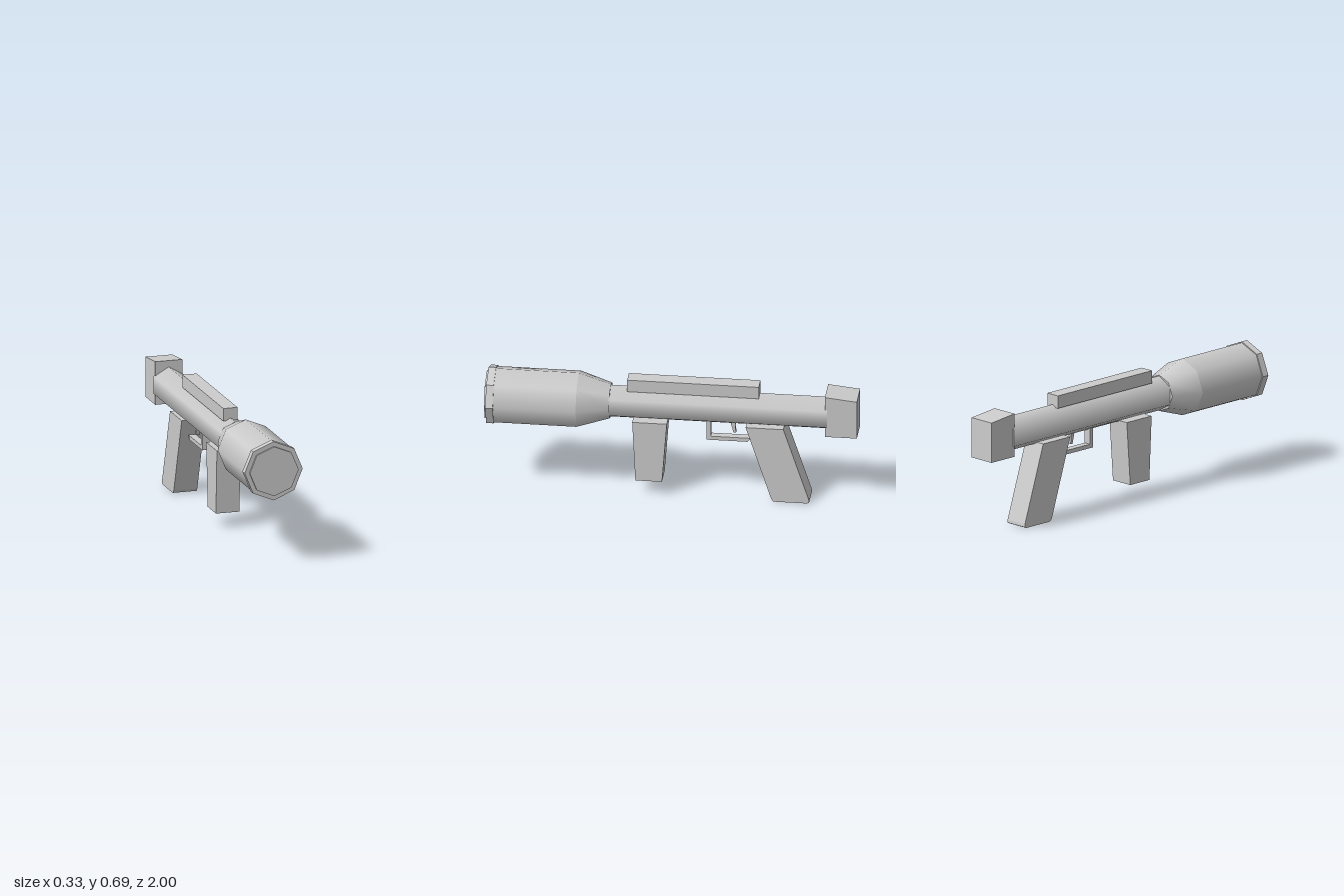
import * as THREE from 'three';

const AXIS_Y = 0.525; // height of the barrel axis

export function createModel() {
  const model = new THREE.Group();
  model.name = 'shoulderLauncher';
  const grey = new THREE.MeshStandardMaterial({ color: 0xcccccc });
  grey.name = 'lightGrey';

  const add = (name, geometry) => {
    const mesh = new THREE.Mesh(geometry, grey);
    mesh.name = name;
    model.add(mesh);
  };

  // Round section along z, with a corner pointing straight up
  const section = (name, sides, zBack, zFront, rBack, rFront, flat = false) => {
    let g = new THREE.CylinderGeometry(rFront, rBack, zFront - zBack, sides);
    g.rotateX(Math.PI / 2);
    g.translate(0, AXIS_Y, (zFront + zBack) / 2);
    if (flat) {
      g = g.toNonIndexed();
      g.computeVertexNormals();
    }
    add(name, g);
  };

  // Side outline of [z, y] points, extruded across x
  const plate = (name, halfWidth, outline) => {
    const shape = new THREE.Shape(outline.map(([z, y]) => new THREE.Vector2(z, y)));
    const g = new THREE.ExtrudeGeometry(shape, { depth: halfWidth * 2, bevelEnabled: false });
    g.translate(0, 0, -halfWidth);
    g.rotateY(-Math.PI / 2);
    add(name, g);
  };

  // Barrel and widened front
  section('barrel', 6, -0.84, 0.345, 0.096, 0.096);
  section('frontTaper', 8, 0.332, 0.505, 0.1, 0.157);
  section('frontHousing', 8, 0.505, 0.97, 0.157, 0.157);
  section('muzzleRim', 8, 0.95, 0.99, 0.163, 0.163, true);
  section('muzzleCap', 8, 0.98, 1.0, 0.137, 0.137, true);

  // Sight rail on top
  plate('sightRail', 0.04, [[0.24, 0.606], [0.24, 0.676], [-0.468, 0.676], [-0.468, 0.606]]);

  // Rear block, slightly lower toward the back
  plate('rearBlock', 0.076, [[-0.828, 0.417], [-0.828, 0.656], [-1, 0.638], [-1, 0.417]]);

  // Grips
  plate('frontGrip', 0.066, [[0.21, 0.435], [0.193, 0.083], [0.05, 0.083], [0.024, 0.435]]);
  plate('rearGrip', 0.066, [
    [-0.4, 0.441], [-0.537, 0.018], [-0.548, 0.002], [-0.56, 0],
    [-0.73, 0], [-0.742, 0.006], [-0.74, 0.022], [-0.603, 0.441],
  ]);

  // Trigger guard and trigger
  plate('triggerGuard', 0.02, [
    [-0.185, 0.44], [-0.185, 0.33], [-0.405, 0.33],
    [-0.425, 0.352], [-0.208, 0.352], [-0.208, 0.44],
  ]);
  plate('trigger', 0.01, [
    [-0.312, 0.445], [-0.32, 0.41], [-0.328, 0.375], [-0.343, 0.378], [-0.338, 0.41], [-0.34, 0.445],
  ]);

  return model;
}
